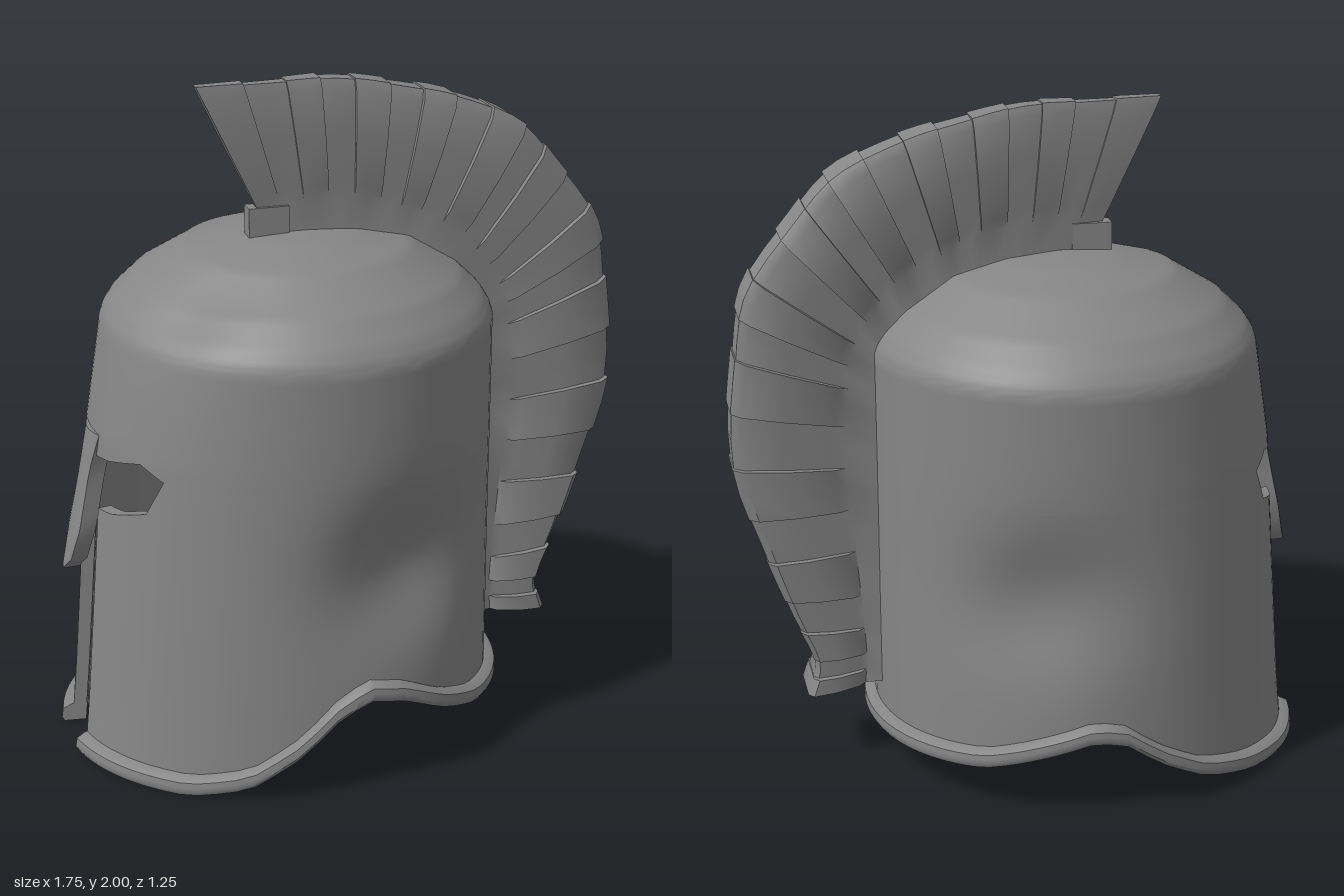
import * as THREE from 'three';
import { toCreasedNormals } from 'three/addons/utils/BufferGeometryUtils.js';

const material = new THREE.MeshStandardMaterial({ color: 0x868686, side: THREE.DoubleSide });

// Piecewise linear lookup in a list of [key, value]
function lookup(table, k) {
  if (k <= table[0][0]) return table[0][1];
  for (let i = 1; i < table.length; i++) {
    const [k0, v0] = table[i - 1], [k1, v1] = table[i];
    if (k <= k1) return v0 + (v1 - v0) * (k - k0) / (k1 - k0);
  }
  return table[table.length - 1][1];
}

// Skin a row of closed rings; the second half of each ring runs back along the first, so ends cap in strips
function loft(rings, crease) {
  const m = rings[0].length, n = rings.length, index = [];
  const quad = (a, b, c, d) => index.push(a, b, c, a, c, d);
  for (let i = 0; i < n - 1; i++) {
    for (let k = 0; k < m; k++) {
      const l = (k + 1) % m;
      quad(i * m + k, (i + 1) * m + k, (i + 1) * m + l, i * m + l);
    }
  }
  const e = (n - 1) * m;
  for (let k = 0; k < m / 2 - 1; k++) {
    quad(m - 1 - k, k, k + 1, m - 2 - k);
    quad(e + k, e + m - 1 - k, e + m - 2 - k, e + k + 1);
  }
  const g = new THREE.BufferGeometry();
  g.setAttribute('position', new THREE.Float32BufferAttribute(rings.flat(2), 3));
  g.setIndex(index);
  return toCreasedNormals(g, crease);
}

function add(parent, name, geometry) {
  const mesh = new THREE.Mesh(geometry, material);
  mesh.name = name;
  parent.add(mesh);
  return mesh;
}

// Helmet surface: phi is measured from the face (-x), h is height; h from 1.3 to 2.3 sweeps over the dome
const FACE = [[0, 0.72], [0.2, 0.7], [0.8, 0.65], [1, 0.635], [1.3, 0.585]];
const DOME_R = [[0, 1], [0.08, 0.985], [0.18, 0.945], [0.35, 0.83], [0.6, 0.575], [0.8, 0.29], [1, 0.002]];
const DOME_Y = [[0, 1.3], [0.08, 1.325], [0.18, 1.36], [0.35, 1.425], [0.6, 1.515], [0.8, 1.55], [1, 1.56]];
function shellPoint(phi, h, offset) {
  const t = Math.max(0, h - 1.3), y = t > 0 ? lookup(DOME_Y, t) : h;
  const p = phi + 0.03 * Math.max(0, Math.cos(phi)); // the face is turned very slightly
  const c = Math.cos(p), s = Math.sin(p), r = lookup(DOME_R, t);
  const a = c > 0 ? lookup(FACE, Math.min(h, 1.3)) : 0.575;
  const x = -0.13 - (a + offset) * c * r, z = (0.59 + offset) * s * r;
  // Soft dent on each side, and a shallow one on the left of the forehead
  const dent = (s > 0 ? 0.1 : 0.08) * Math.abs(s) * Math.exp(-(((x - 0.07) / 0.24) ** 2) - ((y - 0.66) / 0.2) ** 2);
  const brow = 0.035 * Math.exp(-(((x + 0.47) / 0.18) ** 2) - ((z - 0.27) / 0.14) ** 2 - ((y - 1.38) / 0.16) ** 2);
  return [x + brow * 0.6 * c, y + offset * t - brow * 0.6, z - dent * s * r - brow * 0.6 * s];
}

// Slab of the helmet wall between two height functions
function slab(phis, low, high, rows, outer, inner) {
  return loft(phis.map((phi) => {
    const out = [], back = [];
    for (let j = 0; j <= rows; j++) {
      const v = j / rows, h = low(phi) + (high(phi) - low(phi)) * v;
      out.push(shellPoint(phi, h, outer(v)));
      back.unshift(shellPoint(phi, h, inner(v)));
    }
    return [...out, ...back];
  }), 0.7);
}

const range = (a, b, n) => Array.from({ length: n + 1 }, (_, i) => a + (b - a) * i / n);
const SLOT = 0.155, EYE = 0.65;

// Lower edge of the helmet by x; the right side rises earlier and its notch is a little lower
const EDGE_LEFT = [[-0.6, 0], [-0.44, 0.04], [-0.3, 0.14], [-0.18, 0.26], [-0.09, 0.3],
  [0.02, 0.275], [0.15, 0.205], [0.28, 0.15], [0.45, 0.12]];
const EDGE_RIGHT = [[-0.76, 0], [-0.6, 0.025], [-0.44, 0.07], [-0.3, 0.15], [-0.18, 0.24], [-0.09, 0.245],
  [0.05, 0.2], [0.2, 0.15], [0.45, 0.12]];
const bottom = (phi) => {
  const c = Math.cos(phi);
  return lookup(phi > 0 ? EDGE_LEFT : EDGE_RIGHT, -0.13 - c * (c > 0 ? 0.72 : 0.58));
};

// Upper and lower lids of the eye openings
const UPPER_LID = [[0, 0.93], [0.25, 0.95], [0.5, 0.985], [EYE, 0.95]];
const LOWER_LID = [[SLOT, 0.785], [0.3, 0.795], [0.55, 0.84], [EYE, 0.95]];
const eyeTop = (phi) => lookup(UPPER_LID, Math.abs(phi));
const eyeBottom = (phi) => lookup(LOWER_LID, Math.abs(phi));

// Crest: matching points on its outer and inner edge, from the front to the nape
const OUTER = [[-0.44, 2], [-0.2, 2], [-0.02, 2], [0.17, 1.965], [0.35, 1.92], [0.55, 1.83], [0.67, 1.7],
  [0.81, 1.51], [0.85, 1.3], [0.87, 1], [0.79, 0.72], [0.71, 0.5], [0.645, 0.33], [0.67, 0.235]];
const INNER = [[-0.21, 1.52], [-0.12, 1.53], [0, 1.53], [0.12, 1.5], [0.2, 1.46], [0.3, 1.4], [0.36, 1.32],
  [0.4, 1.24], [0.41, 1.15], [0.42, 0.95], [0.42, 0.73], [0.42, 0.47], [0.43, 0.33], [0.43, 0.25]];

function crestGeometry() {
  const curve = (pts) => new THREE.CatmullRomCurve3(pts.map(([x, y]) => new THREE.Vector3(x, y, 0)));
  const outer = curve(OUTER), inner = curve(INNER), feathers = 23, rings = [];
  for (let i = 0; i < feathers; i++) {
    const raised = i % 2 === 0;
    for (const s of [i / feathers, (i + 0.5) / feathers, (i + 1) / feathers]) {
      const a = inner.getPoint(s), b = outer.getPoint(s);
      const full = 0.022 + 0.07 * Math.min(1, s * 2.6), w = full * (raised ? 1 : 0.78);
      const tip = raised ? 1 : 0.99;
      // Smooth flared root, then the feather itself with a rounded outer edge
      const section = [[0, full * 0.75], [0.25, full * 0.6], [0.33, w * 0.8], [0.65, w], [0.93, w], [tip, w * 0.75]];
      const at = (t, z) => {
        const p = a.clone().lerp(b, t);
        return [p.x, p.y, 0.02 - 0.07 * p.x + z];
      };
      rings.push([...section.map(([t, z]) => at(t, z)), ...section.map(([t, z]) => at(t, -z)).reverse()]);
    }
  }
  return loft(rings, 0.7);
}

export function createModel() {
  const model = new THREE.Group();
  model.name = 'crestedHelmet';
  const wall = () => -0.04, skin = () => 0;

  // Columns around the helmet, lined up with the slot and the eye corners
  const side = [...range(SLOT, EYE, 10), ...range(EYE, Math.PI, 30).slice(1)];
  const mirrored = side.map((p) => -p).reverse();

  // Crown: everything above the eyes, including the dome
  const upper = [...mirrored, -0.08, 0, 0.08, ...side];
  add(model, 'crown', slab(upper, eyeTop, () => 2.3, 50, skin, wall));

  // Cheek and neck guard on each side, with a raised rim along the lower edge
  const rimOut = (v) => lookup([[0, 0.025], [0.25, 0.034], [0.75, 0.032], [1, 0.006]], v);
  for (const [name, phis] of [['left', side], ['right', mirrored]]) {
    add(model, name + 'CheekAndNeckGuard', slab(phis, bottom, eyeBottom, 14, skin, wall));
    add(model, name + 'Rim', slab(phis, bottom, (p) => bottom(p) + 0.056, 4, rimOut, () => -0.042));
  }

  // Nose guard, leaning forward as it goes down
  const noseRings = range(-1, 1, 6).map((u) => {
    const out = [], back = [];
    for (const v of range(0, 1, 8)) {
      const h = 0.565 + 0.44 * v + 0.04 * Math.abs(u) * (1 - v);
      const phi = u * lookup([[0, 0.06], [0.25, 0.1], [0.7, 0.085], [1, 0.13]], v);
      const lean = 0.055 * (1 - v) + 0.012 * (1 - u * u);
      out.push(shellPoint(phi, h, lean));
      back.unshift(shellPoint(phi, h, lean - 0.05));
    }
    return [...out, ...back];
  });
  add(model, 'noseGuard', loft(noseRings, 0.7));

  // Crest and its small front foot
  add(model, 'crest', crestGeometry());
  const foot = add(model, 'crestFoot', new THREE.BoxGeometry(0.12, 0.1, 0.055));
  foot.position.set(-0.23, 1.585, 0.035);
  return model;
}
